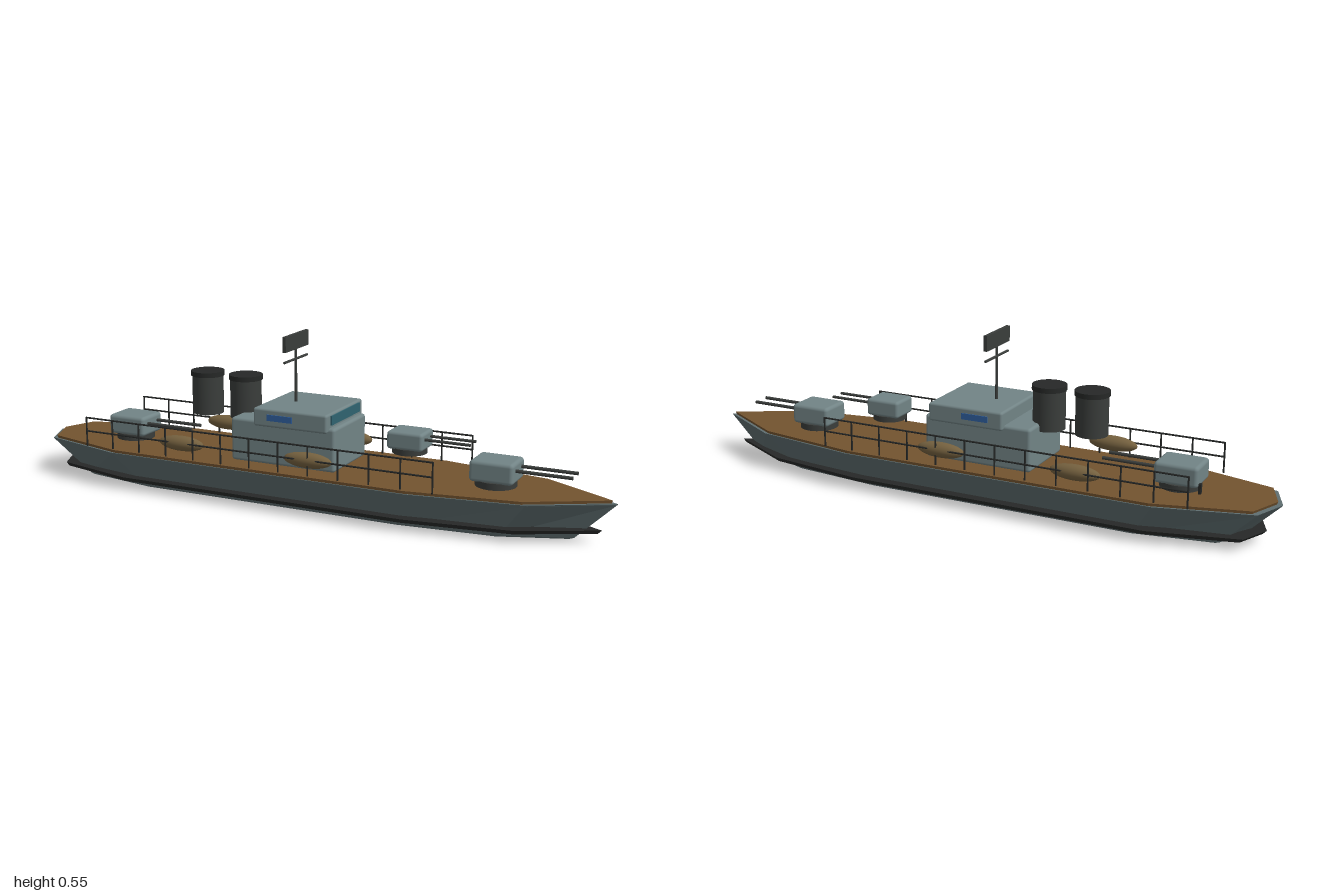
import * as THREE from 'three';
import { RoundedBoxGeometry } from 'three/addons/geometries/RoundedBoxGeometry.js';

const material = (color, extra = {}) => new THREE.MeshStandardMaterial({ color, ...extra });

// Half of the deck outline, bow to stern, on the -z side; mirrored to a closed loop
const half = [[1, 0], [0.76, -0.135], [0.4, -0.19], [-0.66, -0.19], [-0.955, -0.112], [-1, 0]];
const outline = [...half, ...half.slice(1, -1).reverse().map(([x, z]) => [x, -z])];

// Closed solid through scaled copies of the outline; rings are [y, scaleX, scaleZ] from low to high
function loft(rings) {
  const n = outline.length;
  const positions = [];
  const index = [];
  for (const [y, sx, sz] of rings) {
    for (const [x, z] of outline) positions.push(x * sx, y, z * sz);
  }
  const bottom = positions.length / 3;
  positions.push(0, rings[0][0], 0, 0, rings[rings.length - 1][0], 0);
  const last = (rings.length - 1) * n;
  for (let i = 0; i < n; i++) {
    const j = (i + 1) % n;
    for (let r = 0; r < last; r += n) {
      index.push(r + i, r + j, r + n + j, r + i, r + n + j, r + n + i);
    }
    index.push(bottom, j, i, bottom + 1, last + i, last + j);
  }
  const indexed = new THREE.BufferGeometry();
  indexed.setAttribute('position', new THREE.Float32BufferAttribute(positions, 3));
  indexed.setIndex(index);
  const geometry = indexed.toNonIndexed();
  geometry.computeVertexNormals();
  return geometry;
}

export function createModel() {
  const model = new THREE.Group();
  model.name = 'warship';
  const hullGrey = material(0x5f6e70, { flatShading: true });
  const grey = material(0x728486);
  const dark = material(0x3a3d3b);
  const black = material(0x262827);
  const wood = material(0x73532f, { flatShading: true });
  const raftBrown = material(0x75613f);
  const glass = material(0x2f6370);
  const blue = material(0x2f5f9e);

  function add(parent, name, geometry, mat, x = 0, y = 0, z = 0) {
    const mesh = new THREE.Mesh(geometry, mat);
    mesh.name = name;
    mesh.position.set(x, y, z);
    parent.add(mesh);
    return mesh;
  }
  const box = (w, h, d) => new THREE.BoxGeometry(w, h, d);
  const rounded = (w, h, d, r) => new RoundedBoxGeometry(w, h, d, 3, r);
  const rod = (r, length, sides = 12) => new THREE.CylinderGeometry(r, r, length, sides);
  const group = (name, x = 0, y = 0, z = 0) => {
    const g = new THREE.Group();
    g.name = name;
    g.position.set(x, y, z);
    model.add(g);
    return g;
  };

  // Hull, waterline strake and planked deck
  add(model, 'hull', loft([[0, 0.86, 0.565], [0.006, 0.875, 0.59], [0.125, 0.997, 0.99], [0.129, 1, 1]]), hullGrey);
  add(model, 'waterlineBand', loft([[0.029, 0.945, 0.87], [0.041, 0.957, 0.887]]), black);
  add(model, 'deck', loft([[0.126, 0.98, 0.975], [0.138, 0.985, 0.982]]), wood);

  // Superstructure and bridge with windows
  const house = group('superstructure');
  add(house, 'deckhouse', rounded(0.37, 0.142, 0.24, 0.01), grey, -0.05, 0.212, 0);
  add(house, 'bridge', rounded(0.26, 0.06, 0.27, 0.008), grey, -0.015, 0.298, 0);
  add(house, 'frontWindow', box(0.012, 0.03, 0.21), glass, 0.114, 0.306, 0);
  for (const s of [-1, 1]) {
    add(house, 'sideWindow', box(0.09, 0.02, 0.008), blue, -0.05, 0.3, s * 0.134);
  }

  // Mast with yard and radar panel
  const mast = group('mast', -0.06, 0, 0);
  add(mast, 'mastPole', rod(0.0045, 0.18), dark, 0, 0.415, 0);
  add(mast, 'yard', rod(0.004, 0.16), dark, 0, 0.469, 0).rotation.x = Math.PI / 2;
  add(mast, 'radarPanel', box(0.012, 0.05, 0.162), dark, 0, 0.527, 0);

  // Funnels with caps
  for (const x of [-0.39, -0.245]) {
    const funnel = group('funnel', x, 0, 0);
    add(funnel, 'funnelBody', rod(0.052, 0.13, 32), dark, 0, 0.323, 0);
    add(funnel, 'funnelCap', rod(0.056, 0.016, 32), black, 0, 0.393, 0);
  }

  // Twin gun turrets
  for (const [x, y, s] of [[0.625, 0.138, 1], [0.34, 0.208, 0.85], [-0.685, 0.138, 1]]) {
    const turret = group('turret', x, y, 0);
    turret.scale.setScalar(s);
    add(turret, 'turretBase', rod(0.065, 0.022, 32), dark, 0, 0.01, 0);
    add(turret, 'gunHouse', rounded(0.14, 0.067, 0.118, 0.012), grey, 0, 0.051, 0);
    for (const side of [-1, 1]) {
      add(turret, 'gunBarrel', rod(0.0055, 0.19), dark, 0.15, 0.06, side * 0.029).rotation.z = Math.PI / 2;
    }
  }
  add(model, 'sternPost', box(0.008, 0.032, 0.012), black, -0.762, 0.158, -0.052);

  // Guard rails and life rafts on both sides
  const start = -0.765;
  const end = 0.485;
  for (const s of [-1, 1]) {
    const rail = group('guardRail', 0, 0, s * 0.175);
    for (let i = 0; i <= 12; i++) {
      add(rail, 'railPost', rod(0.003, 0.1, 8), black, start + (end - start) * i / 12, 0.187, 0);
    }
    for (const y of [0.189, 0.235]) {
      add(rail, 'railBar', rod(0.003, end - start, 8), black, (start + end) / 2, y, 0).rotation.z = Math.PI / 2;
    }
    for (const x of [-0.402, 0.06]) {
      const raft = add(model, 'lifeRaft', new THREE.SphereGeometry(1, 24, 16), raftBrown, x, 0.184, s * 0.156);
      raft.scale.set(0.083, 0.025, 0.025);
    }
  }
  return model;
}
